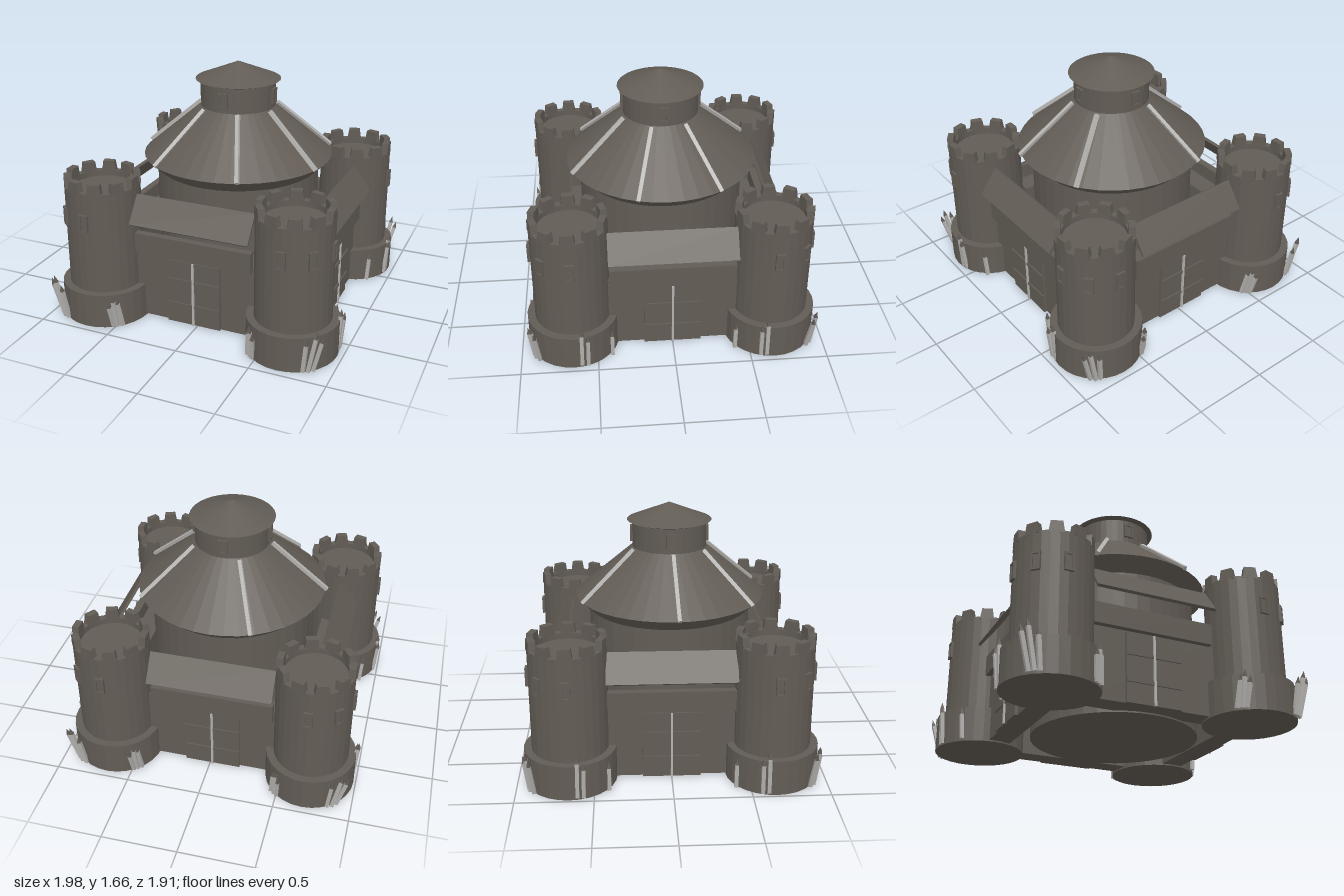
import * as THREE from 'three';

const stone = new THREE.MeshStandardMaterial({ color: 0x625c55, flatShading: true });
stone.name = 'dark stone';
const wood = new THREE.MeshStandardMaterial({ color: 0xb4b2af, flatShading: true });
wood.name = 'pale wood';

const UP = new THREE.Vector3(0, 1, 0);

function add(parent, name, geometry, material, x = 0, y = 0, z = 0) {
  const mesh = new THREE.Mesh(geometry, material);
  mesh.name = name;
  mesh.position.set(x, y, z);
  parent.add(mesh);
  return mesh;
}

const box = (parent, name, mat, w, h, d, x, y, z) =>
  add(parent, name, new THREE.BoxGeometry(w, h, d), mat, x, y, z);

const lathe = (points, sides) =>
  new THREE.LatheGeometry(points.map(([r, y]) => new THREE.Vector2(r, y)), sides);

// Raised window frame with a recessed-looking inner plate, facing outward at an angle
function windowAt(parent, angle, radius, y, w, h) {
  const g = new THREE.Group();
  g.name = 'window';
  g.rotation.y = angle;
  for (const s of [-1, 1]) {
    box(g, 'windowJamb', stone, 0.012, h, 0.03, s * (w / 2 - 0.006), y, radius);
    box(g, 'windowLintel', stone, w, 0.014, 0.03, 0, y + s * (h / 2 - 0.007), radius);
  }
  box(g, 'windowPane', stone, w - 0.02, h - 0.02, 0.012, 0, y, radius);
  parent.add(g);
}

// Square beam between two points
function beam(parent, name, a, b, size, pointed) {
  const from = new THREE.Vector3(...a), dir = new THREE.Vector3(...b).sub(from);
  const length = dir.length();
  const g = new THREE.Group();
  g.name = name;
  g.position.copy(from);
  g.quaternion.setFromUnitVectors(UP, dir.normalize());
  const shaft = pointed ? length - 0.05 : length;
  box(g, name + 'Shaft', wood, size, shaft, size, 0, shaft / 2, 0);
  if (pointed) {
    const tip = add(g, name + 'Tip', new THREE.ConeGeometry(size * 0.7, 0.05, 4), stone, 0, shaft + 0.025, 0);
    tip.rotation.y = Math.PI / 4;
  }
  parent.add(g);
}

// Round keep with flared roof, lantern storey and cap
function makeKeep() {
  const keep = new THREE.Group();
  keep.name = 'keep';
  keep.position.set(0.02, 0, 0.02);
  add(keep, 'keepBody', lathe([[0, 0], [0.55, 0], [0.55, 0.96]], 40), stone);
  add(keep, 'keepRoof', lathe([[0.545, 0.95], [0.64, 1.04], [0.25, 1.37]], 40), stone);
  add(keep, 'lantern', lathe([[0.25, 1.365], [0.25, 1.54]], 40), stone);
  add(keep, 'lanternCap', lathe([[0.24, 1.535], [0.285, 1.55], [0, 1.665]], 40), stone);
  for (let i = 0; i < 4; i++) windowAt(keep, i * Math.PI / 2, 0.25, 1.455, 0.065, 0.1);
  // Roof ribs
  for (const deg of [-114, -32.5, 17, 68, 124.5, 177]) {
    const c = Math.cos(deg * Math.PI / 180), s = Math.sin(deg * Math.PI / 180);
    beam(keep, 'roofRib', [c * 0.65, 1.045, s * 0.65], [c * 0.27, 1.368, s * 0.27], 0.025, false);
  }
  return keep;
}

// Corner tower; sx and sz point outward
function makeTower(sx, sz) {
  const tower = new THREE.Group();
  tower.name = 'cornerTower';
  tower.position.set(sx * 0.675 - 0.01, 0, sz * 0.655);
  add(tower, 'towerBase', lathe([[0, 0], [0.3, 0], [0.3, 0.235], [0.245, 0.235]], 28), stone);
  add(tower, 'towerBody', lathe([[0.25, 0.23], [0.25, 0.93], [0.205, 0.93], [0.205, 0.89], [0, 0.89]], 28), stone);
  // Battlements with tapered tops
  for (let i = 0; i < 10; i++) {
    const a = (i + 0.5) * Math.PI / 5;
    const geo = new THREE.BoxGeometry(0.1, 0.08, 0.045);
    const p = geo.attributes.position;
    for (let k = 0; k < p.count; k++) if (p.getY(k) > 0) p.setX(k, p.getX(k) * 0.75);
    const merlon = add(tower, 'merlon', geo, stone, Math.sin(a) * 0.226, 0.955, Math.cos(a) * 0.226);
    merlon.rotation.y = a;
  }
  for (const t of [0, Math.PI / 4, Math.PI / 2])
    windowAt(tower, Math.atan2(sx * Math.sin(t), sz * Math.cos(t)), 0.25, 0.725, 0.06, 0.12);
  // Leaning stakes: [foot x, foot z, tip x, tip y, tip z], measured outward
  const stakes = [
    [0.19, 0.25, 0.25, 0.31, 0.27], [0.215, 0.225, 0.285, 0.28, 0.25], [0.16, 0.26, 0.19, 0.26, 0.29],
    [-0.2, 0.23, -0.19, 0.25, 0.27], [-0.225, 0.21, -0.205, 0.23, 0.25], [-0.18, 0.245, -0.165, 0.21, 0.29],
    [0.285, -0.05, 0.3, 0.31, -0.055], [0.285, -0.09, 0.31, 0.27, -0.095], [0.2, -0.25, 0.215, 0.225, -0.25],
  ];
  for (const [fx, fz, tx, ty, tz] of stakes)
    beam(tower, 'stake', [sx * fx, 0.01, sz * fz], [sx * tx, ty, sz * tz], 0.024, true);
  return tower;
}

// Curtain wall with gate, parapet and covered walkway, facing +z at the given offset
function makeWall(offset) {
  const wall = new THREE.Group();
  wall.name = 'curtainWall';
  box(wall, 'wallBody', stone, 0.9, 0.51, 0.15, 0, 0.265, offset - 0.075);
  box(wall, 'parapet', stone, 0.82, 0.14, 0.05, 0, 0.55, offset + 0.015);
  // Gate leaves, cross bars and centre post
  for (const s of [-1, 1]) {
    box(wall, 'gateLeaf', stone, 0.185, 0.455, 0.03, s * 0.096, 0.2375, offset + 0.005);
    for (const y of [0.15, 0.325])
      box(wall, 'gateBar', stone, 0.18, 0.02, 0.02, s * 0.096, y, offset + 0.02);
  }
  beam(wall, 'gatePost', [0, 0.01, offset + 0.025], [0, 0.465, offset + 0.025], 0.014, false);
  // Sloping roof slab
  const z0 = offset + 0.095, z1 = offset - 0.03;
  const roof = box(wall, 'walkwayRoof', stone, 0.83, 0.02, Math.hypot(z0 - z1, 0.17), 0, 0.785, (z0 + z1) / 2);
  roof.rotation.x = Math.atan2(0.17, z0 - z1);
  return wall;
}

export function createModel() {
  const castle = new THREE.Group();
  castle.name = 'castle';
  castle.add(makeKeep());
  for (const sx of [-1, 1]) for (const sz of [-1, 1]) castle.add(makeTower(sx, sz));
  // Front, right, back and left walls
  [0.665, 0.745, 0.695, 0.71].forEach((offset, i) => {
    const wall = makeWall(offset);
    wall.rotation.y = i * Math.PI / 2;
    if (i % 2 === 0) wall.position.x = -0.02;
    castle.add(wall);
  });
  return castle;
}
